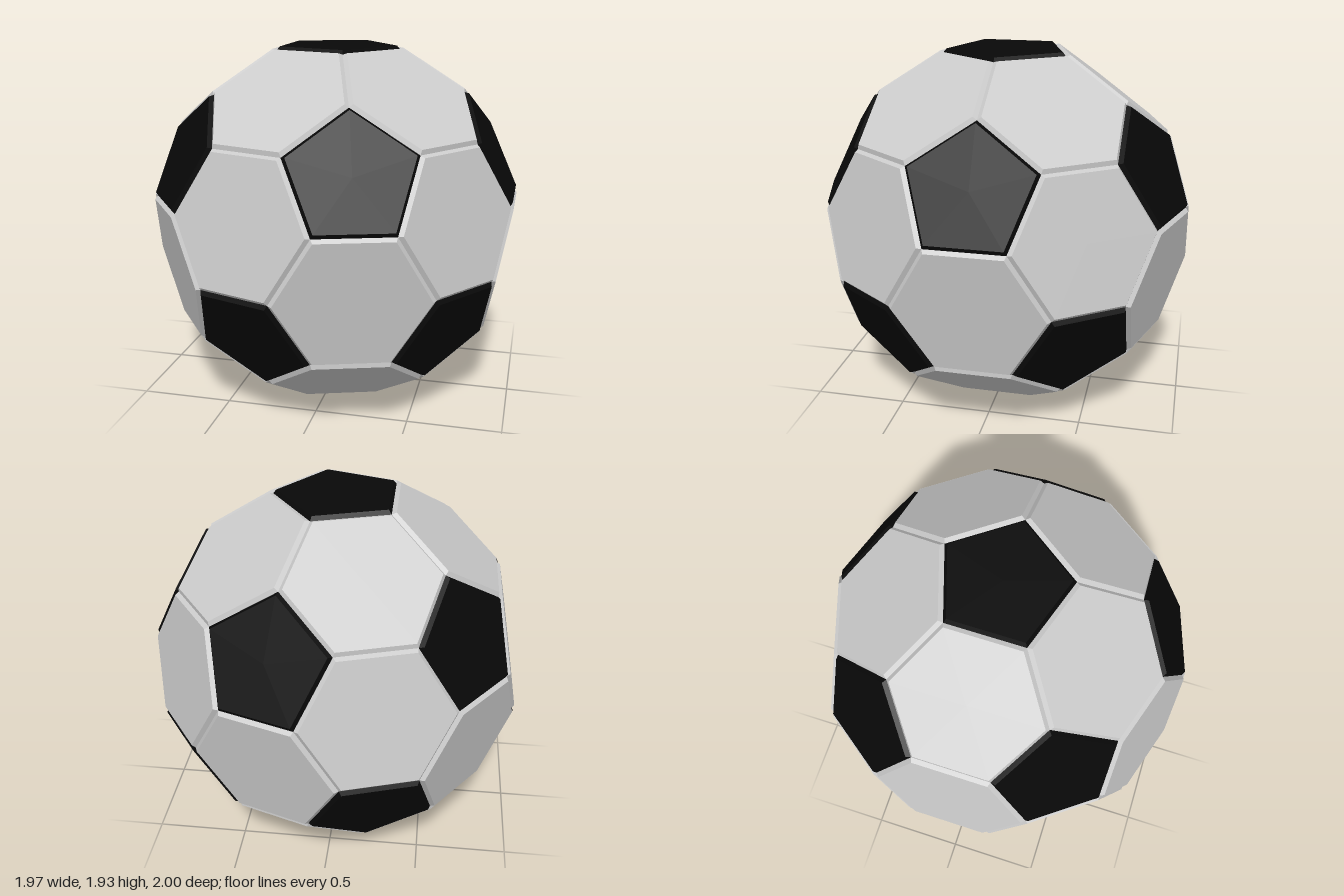
import * as THREE from 'three';

const EDGE = 0.4056;   // seam-to-seam edge length of every panel
const RAISE = 0.021;   // panel height above the seam
const INSET = 0.0145;  // how far the panel top draws in from the seam
const CENTER_Y = 0.965;

// Icosahedron corners: one pole up, one down, two staggered rings of five.
function icosahedronPoints(radius) {
  const points = [new THREE.Vector3(0, radius, 0), new THREE.Vector3(0, -radius, 0)];
  const y = radius / Math.sqrt(5);
  for (let i = 0; i < 5; i++) {
    const a = (i * Math.PI * 2) / 5;
    points.push(new THREE.Vector3(2 * y * Math.cos(a), y, 2 * y * Math.sin(a)));
    points.push(new THREE.Vector3(-2 * y * Math.cos(a), -y, -2 * y * Math.sin(a)));
  }
  return points;
}

// Bevelled regular panel: a short tapered prism with `sides` sides.
function panelGeometry(sides) {
  const radius = EDGE / (2 * Math.sin(Math.PI / sides));
  const top = radius - INSET / Math.cos(Math.PI / sides);
  return new THREE.CylinderGeometry(top, radius, RAISE, sides).translate(0, RAISE / 2, 0);
}

// Lays a panel at its centre, facing outward, with one corner aimed at `corner`.
function placePanel(name, geometry, material, center, corner) {
  const up = center.clone().normalize();
  const out = corner.clone().sub(center).normalize();
  const side = new THREE.Vector3().crossVectors(up, out);
  const mesh = new THREE.Mesh(geometry, material);
  mesh.name = name;
  mesh.quaternion.setFromRotationMatrix(new THREE.Matrix4().makeBasis(side, up, out));
  mesh.position.copy(center);
  return mesh;
}

export function createModel() {
  const ball = new THREE.Group();
  ball.name = 'ball';
  const white = new THREE.MeshStandardMaterial({ color: 0xcccccc, flatShading: true });
  const black = new THREE.MeshStandardMaterial({ color: 0x080808, flatShading: true });
  const pentagon = panelGeometry(5);
  const hexagon = panelGeometry(6);

  const long = 3 * EDGE; // icosahedron edge before its corners are cut off
  const points = icosahedronPoints(long * Math.sin((2 * Math.PI) / 5));
  const near = (a, b) => a !== b && a.distanceTo(b) < long * 1.01;

  // Black pentagons replace the icosahedron's corners
  points.forEach((p) => {
    const ring = points.filter((q) => near(p, q)).map((q) => p.clone().lerp(q, 1 / 3));
    const center = ring.reduce((sum, q) => sum.add(q), new THREE.Vector3()).divideScalar(5);
    ball.add(placePanel('pentagonPanel', pentagon, black, center, ring[0]));
  });

  // Light hexagons fill the icosahedron's faces
  points.forEach((a, i) => points.forEach((b, j) => points.forEach((c, k) => {
    if (i < j && j < k && near(a, b) && near(b, c) && near(a, c)) {
      const center = a.clone().add(b).add(c).divideScalar(3);
      ball.add(placePanel('hexagonPanel', hexagon, white, center, a.clone().lerp(b, 1 / 3)));
    }
  })));

  ball.position.y = CENTER_Y;
  const model = new THREE.Group();
  model.add(ball);
  return model;
}
